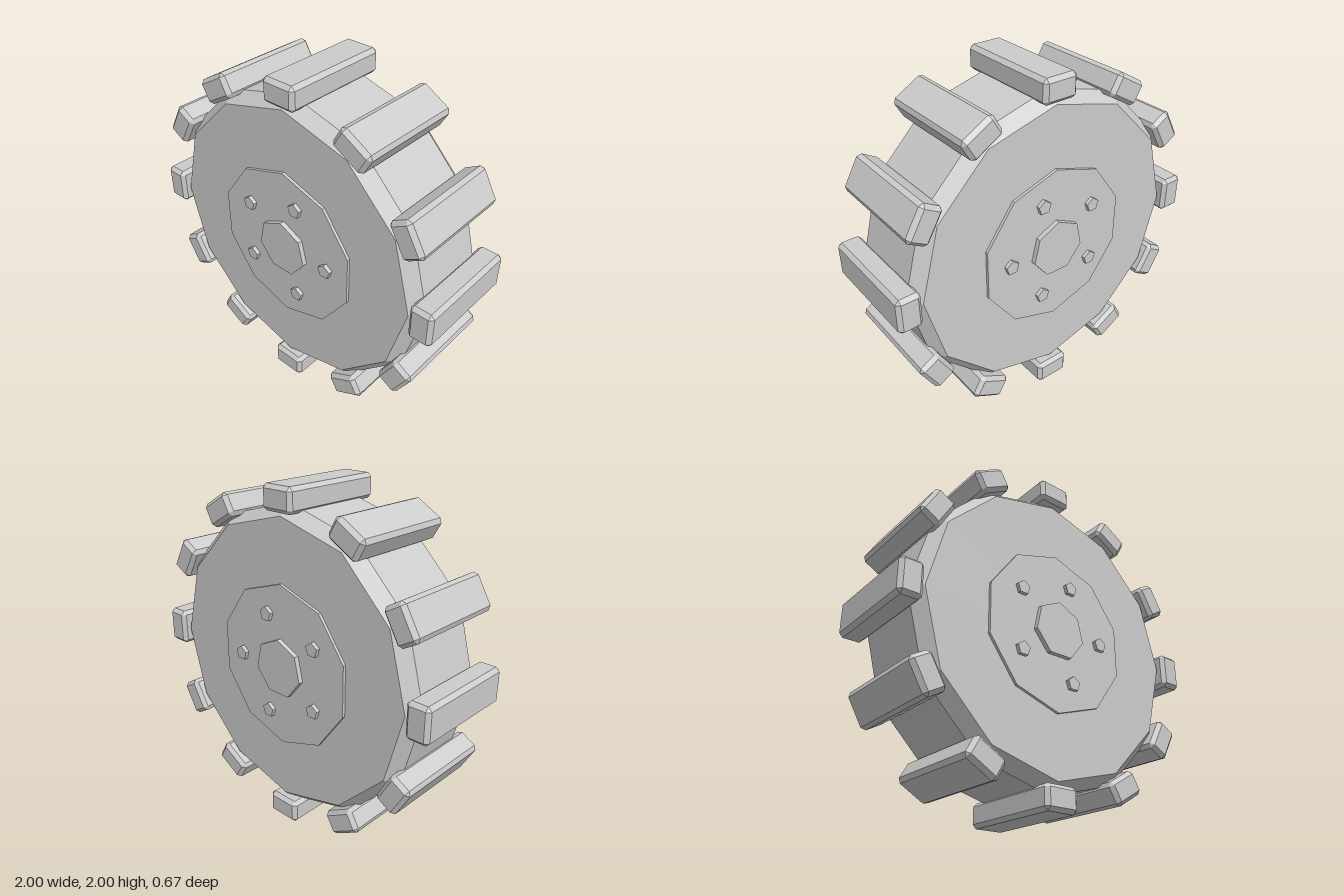
import * as THREE from 'three';
import { ConvexGeometry } from 'three/addons/geometries/ConvexGeometry.js';

// Prism along z from z0 to z1, first corner pointing up; r0 and r1 are the end radii
function prism(r0, r1, z0, z1, sides) {
  const g = new THREE.CylinderGeometry(r1, r0, z1 - z0, sides);
  g.rotateX(Math.PI / 2);
  g.rotateZ(Math.PI);
  g.translate(0, 0, (z0 + z1) / 2);
  return g;
}

// Box with all edges and corners chamfered
function chamferedBox(w, h, d, c) {
  const points = [];
  for (const x of [-1, 1]) for (const y of [-1, 1]) for (const z of [-1, 1]) {
    for (let full = 0; full < 3; full++) {
      points.push(new THREE.Vector3(
        x * (w / 2 - (full === 0 ? 0 : c)),
        y * (h / 2 - (full === 1 ? 0 : c)),
        z * (d / 2 - (full === 2 ? 0 : c))));
    }
  }
  return new ConvexGeometry(points);
}

export function createModel() {
  const grey = new THREE.MeshStandardMaterial({ color: 0xcccccc, flatShading: true });
  grey.name = 'light grey';
  const model = new THREE.Group();
  model.name = 'wheel';
  const wheel = new THREE.Group();
  wheel.name = 'wheelAssembly';
  wheel.position.y = 1;
  model.add(wheel);

  const add = (name, geometry) => {
    const mesh = new THREE.Mesh(geometry, grey);
    mesh.name = name;
    wheel.add(mesh);
    return mesh;
  };

  // Twelve-sided tyre with chamfered shoulders
  const tyre = new THREE.LatheGeometry([
    [0, -0.29], [0.84, -0.29], [0.9, -0.22], [0.9, 0.22], [0.84, 0.29], [0, 0.29],
  ].map(([r, z]) => new THREE.Vector2(r, z)), 12);
  tyre.rotateX(Math.PI / 2);
  add('tyre', tyre);

  // Hub disc, centre cap and five bolts on both faces
  for (const [side, s] of [['front', 1], ['back', -1]]) {
    const disc = (name, r, outer, sides) => add(side + name,
      prism(r, r, Math.min(s * 0.27, s * outer), Math.max(s * 0.27, s * outer), sides));
    disc('HubDisc', 0.48, 0.307, 10);
    disc('CentreCap', 0.17, 0.335, 7);
    for (let i = 0; i < 5; i++) {
      const a = i * Math.PI * 2 / 5;
      disc('Bolt', 0.043, 0.33, 5).position.set(0.31 * Math.cos(a), 0.31 * Math.sin(a), 0);
    }
  }

  // Twelve tread lugs around the rim
  const lug = chamferedBox(0.212, 0.14, 0.65, 0.022);
  for (let i = 0; i < 12; i++) {
    const a = i * Math.PI / 6;
    const mesh = add('treadLug', lug);
    mesh.position.set(-0.93 * Math.sin(a), 0.93 * Math.cos(a), 0);
    mesh.rotation.z = a;
  }
  return model;
}
